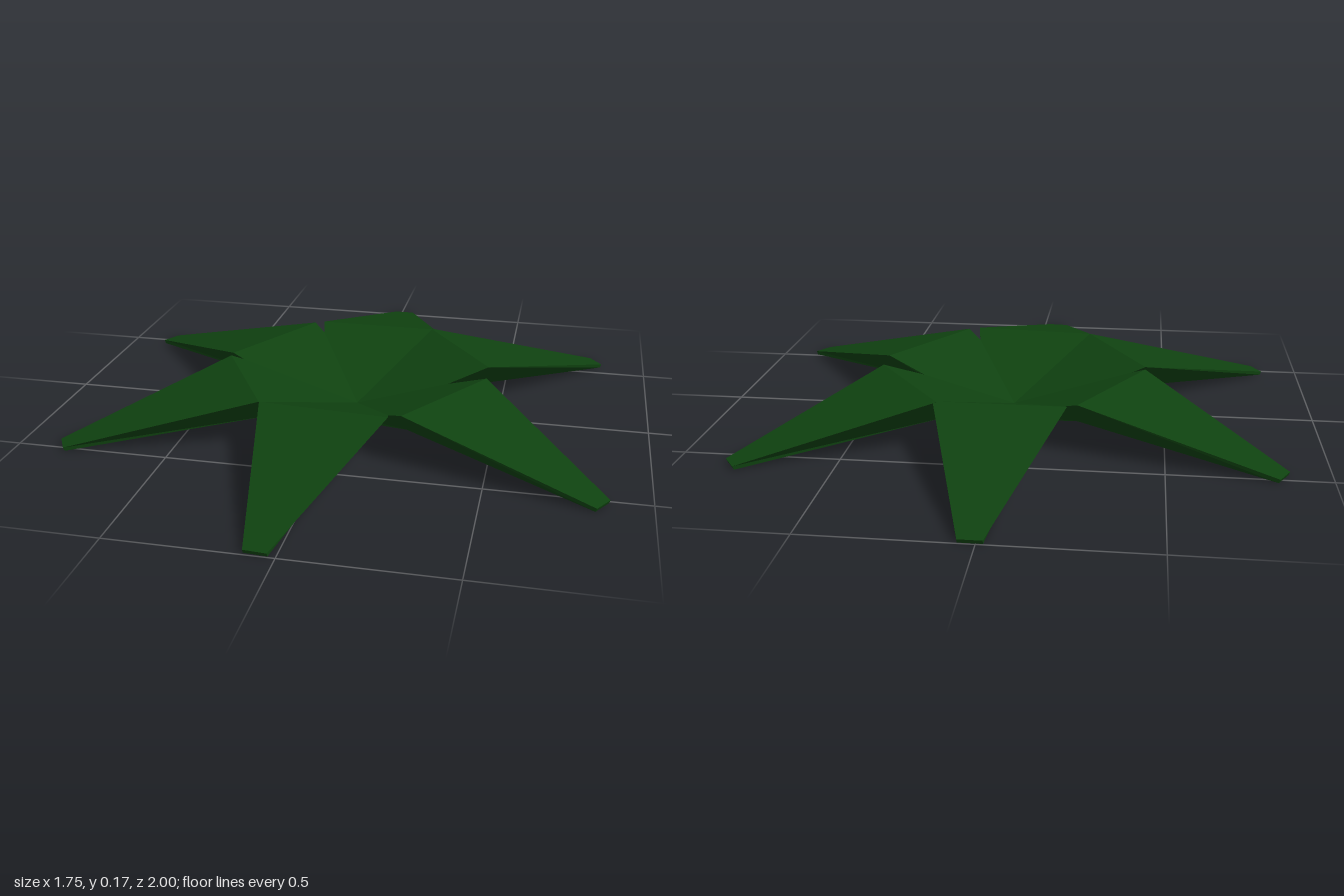
import * as THREE from 'three';

const leafGreen = new THREE.MeshStandardMaterial({ color: 0x0f4210, flatShading: true });
leafGreen.name = 'leafGreen';

// Leaf cross-sections along +x: [top r, top half width, top y, bottom r, bottom half width, bottom y]
const SECTIONS = [
  [0.0, 0.115, 0.02, 0.0, 0.115, 0.0],     // root
  [0.395, 0.21, 0.165, 0.34, 0.12, 0.07],  // bend
  [1.0, 0.035, 0.012, 0.995, 0.035, 0.0],  // tip
];

function leafGeometry() {
  const positions = [];
  const index = [];
  for (const [tr, tw, ty, br, bw, by] of SECTIONS) {
    positions.push(tr, ty, -tw, tr, ty, tw, br, by, bw, br, by, -bw);
  }
  const quad = (a, b, c, d) => index.push(a, b, c, a, c, d);
  for (let k = 0; k < SECTIONS.length - 1; k++) {
    for (let i = 0; i < 4; i++) {
      const j = (i + 1) % 4;
      quad(k * 4 + i, k * 4 + j, k * 4 + 4 + j, k * 4 + 4 + i);
    }
  }
  // end caps
  const e = (SECTIONS.length - 1) * 4;
  quad(e, e + 1, e + 2, e + 3);
  quad(3, 2, 1, 0);
  const indexed = new THREE.BufferGeometry();
  indexed.setAttribute('position', new THREE.Float32BufferAttribute(positions, 3));
  indexed.setIndex(index);
  const geometry = indexed.toNonIndexed();
  geometry.computeVertexNormals();
  return geometry;
}

export function createModel() {
  const plant = new THREE.Group();
  plant.name = 'plant';
  const geometry = leafGeometry();
  // Slightly uneven headings, in degrees turned from +x towards -z
  const headings = {
    backLeaf: 90,
    backLeftLeaf: 36,
    frontLeftLeaf: -32.9,
    frontLeaf: -94.2,
    frontRightLeaf: -150.4,
    backRightLeaf: 150.4,
  };
  for (const [name, degrees] of Object.entries(headings)) {
    const leaf = new THREE.Mesh(geometry, leafGreen);
    leaf.name = name;
    leaf.position.x = 0.015;
    leaf.rotation.y = THREE.MathUtils.degToRad(degrees);
    plant.add(leaf);
  }
  return plant;
}
